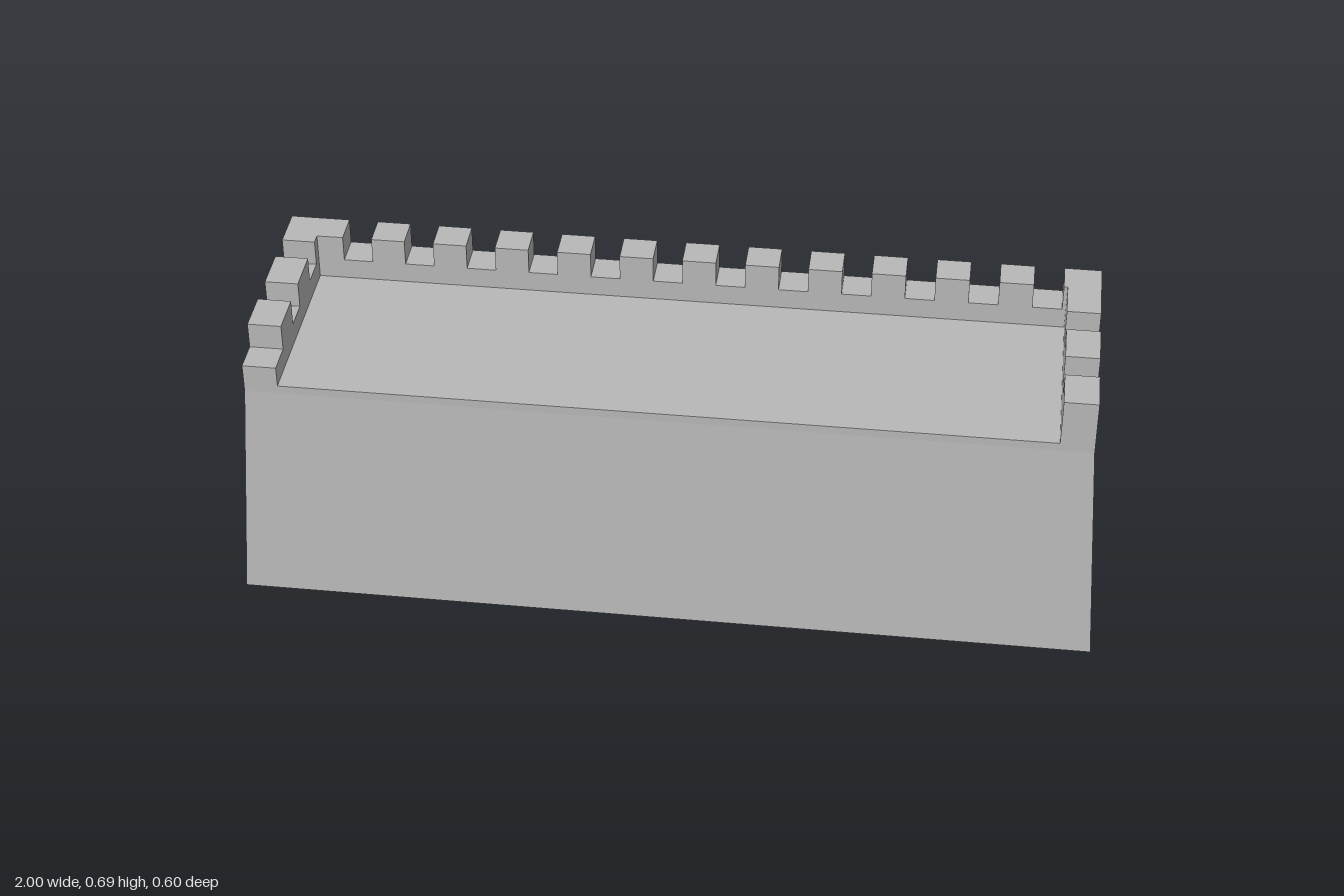
import * as THREE from 'three';

const BASE = { x: 1, z: 0.298 };       // half sizes at the ground
const TOP = { x: 0.964, z: 0.265 };    // half sizes of the upright upper part
const BEND = 0.553, DECK = 0.573, SILL = 0.623, CREST = 0.686;
const THICK = 0.078;

const stone = new THREE.MeshStandardMaterial({ color: 0xb8b8b8, side: THREE.DoubleSide });
stone.name = 'stone grey';

// Open four-sided shell through a stack of rectangles
function shellGeometry(rings) {
  const points = [];
  const corners = [[1, 1], [1, -1], [-1, -1], [-1, 1]];
  for (let r = 0; r < rings.length - 1; r++) {
    for (let i = 0; i < 4; i++) {
      const at = (ring, c) => [corners[c][0] * ring.x, ring.y, corners[c][1] * ring.z];
      const j = (i + 1) % 4;
      const a = at(rings[r], i), b = at(rings[r], j);
      const c = at(rings[r + 1], j), d = at(rings[r + 1], i);
      points.push(...a, ...b, ...c, ...a, ...c, ...d);
    }
  }
  const geometry = new THREE.BufferGeometry();
  geometry.setAttribute('position', new THREE.Float32BufferAttribute(points, 3));
  geometry.computeVertexNormals();
  return geometry;
}

// Parapet wall running from start to end, with notches [from, to] cut in its crest
function parapet(name, start, end, notches) {
  const shape = new THREE.Shape();
  shape.moveTo(end, DECK);
  const open = notches.length && notches[notches.length - 1][1] >= end;
  shape.lineTo(end, open ? SILL : CREST);
  for (const [from, to] of [...notches].reverse()) {
    if (to < end) {
      shape.lineTo(to, CREST);
      shape.lineTo(to, SILL);
    }
    shape.lineTo(from, SILL);
    shape.lineTo(from, CREST);
  }
  shape.lineTo(start, CREST);
  shape.lineTo(start, DECK);
  const geometry = new THREE.ExtrudeGeometry(shape, { depth: THICK, bevelEnabled: false });
  const mesh = new THREE.Mesh(geometry, stone);
  mesh.name = name;
  return mesh;
}

export function createModel() {
  const wall = new THREE.Group();
  wall.name = 'castleWall';

  // Sloping walls with a short upright band, open underneath
  const body = new THREE.Mesh(shellGeometry([
    { ...BASE, y: 0 }, { ...TOP, y: BEND }, { ...TOP, y: DECK },
  ]), stone);
  body.name = 'wallBody';
  wall.add(body);

  // Walkway
  const deck = new THREE.Mesh(new THREE.PlaneGeometry(TOP.x * 2, TOP.z * 2).rotateX(-Math.PI / 2), stone);
  deck.name = 'walkway';
  deck.position.y = DECK;
  wall.add(deck);

  // Long battlement at the back
  const backNotches = [];
  for (let i = 0; i < 12; i++) {
    const from = -0.824 + i * 0.1484;
    backNotches.push([from, from + 0.069]);
  }
  const back = parapet('backBattlement', -TOP.x, TOP.x, backNotches);
  back.position.z = -TOP.z;
  wall.add(back);

  // End battlements: the profile runs along z after turning
  const inner = -TOP.z + THICK;
  const left = parapet('leftBattlement', inner, TOP.z, [[-0.088, -0.017], [0.09, 0.16]]);
  const right = parapet('rightBattlement', inner, TOP.z, [[-0.16, -0.09], [0.017, 0.088], [0.19, TOP.z]]);
  left.rotation.y = right.rotation.y = -Math.PI / 2;
  left.position.x = TOP.x;
  right.position.x = -TOP.x + THICK;
  wall.add(left, right);

  return wall;
}
